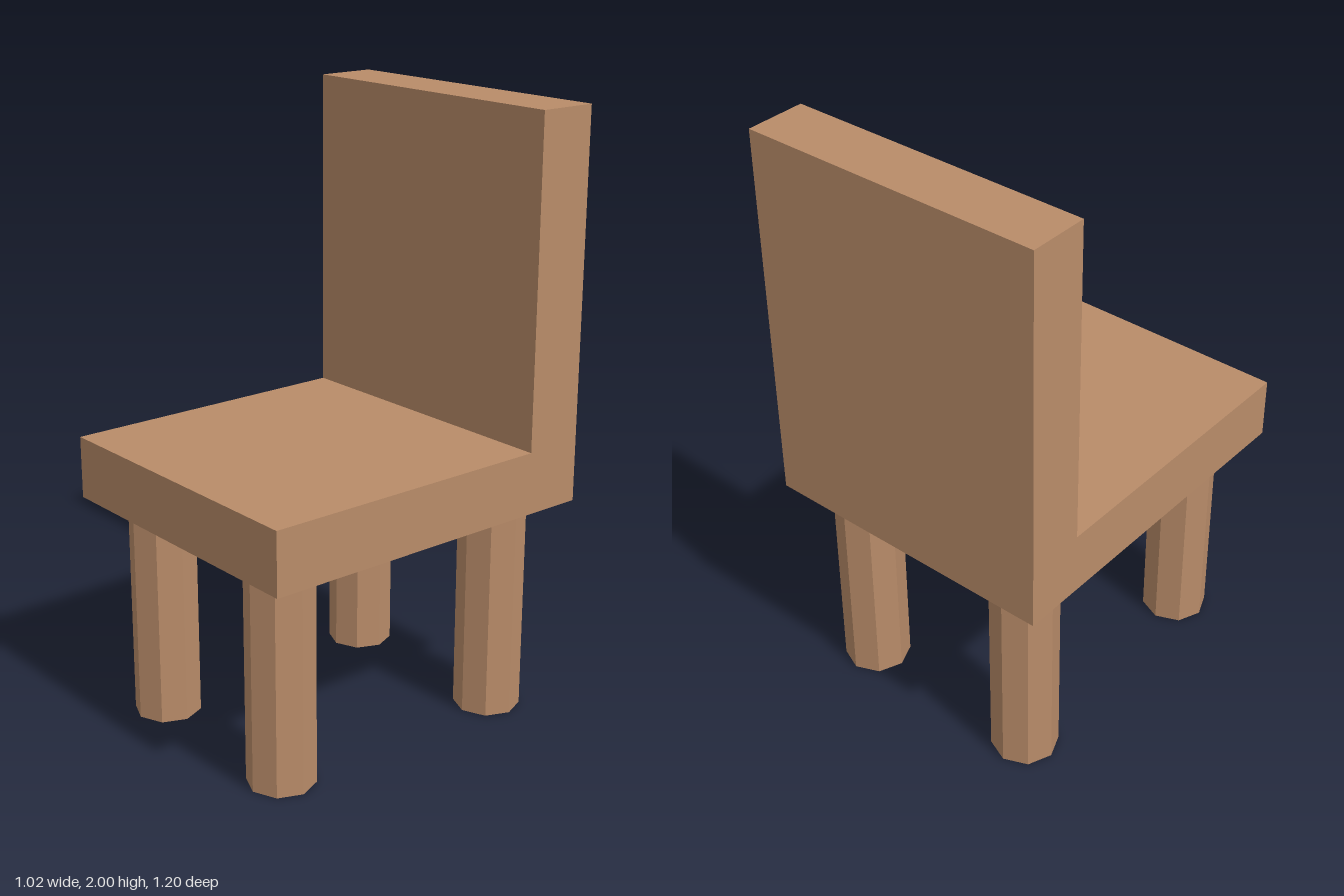
import * as THREE from 'three';

export function createModel() {
  const model = new THREE.Group();
  model.name = 'chair';
  const wood = new THREE.MeshStandardMaterial({ color: 0xb98c69, flatShading: true });
  wood.name = 'wood';

  const width = 1.02, seatBottom = 0.735, seatTop = 0.94;

  // Seat and backrest: one L-shaped side profile (z, y) extruded across the width
  const profile = new THREE.Shape([
    [-0.6, seatBottom], [0.6, seatBottom], [0.6, seatTop],
    [-0.4, seatTop], [-0.4, 2], [-0.6, 2],
  ].map(([z, y]) => new THREE.Vector2(-z, y)));
  const body = new THREE.ExtrudeGeometry(profile, { depth: width, bevelEnabled: false });
  body.translate(0, 0, -width / 2).rotateY(Math.PI / 2);
  const seat = new THREE.Mesh(body, wood);
  seat.name = 'seatAndBackrest';
  model.add(seat);

  // Four octagonal legs, the rear pair set slightly wider
  const legGeometry = new THREE.CylinderGeometry(0.11, 0.11, seatBottom, 8);
  const legs = [
    ['frontLeftLeg', 0.296, 0.426], ['frontRightLeg', -0.317, 0.426],
    ['backLeftLeg', 0.322, -0.425], ['backRightLeg', -0.333, -0.425],
  ];
  for (const [name, x, z] of legs) {
    const leg = new THREE.Mesh(legGeometry, wood);
    leg.name = name;
    leg.position.set(x, seatBottom / 2, z);
    model.add(leg);
  }
  return model;
}
